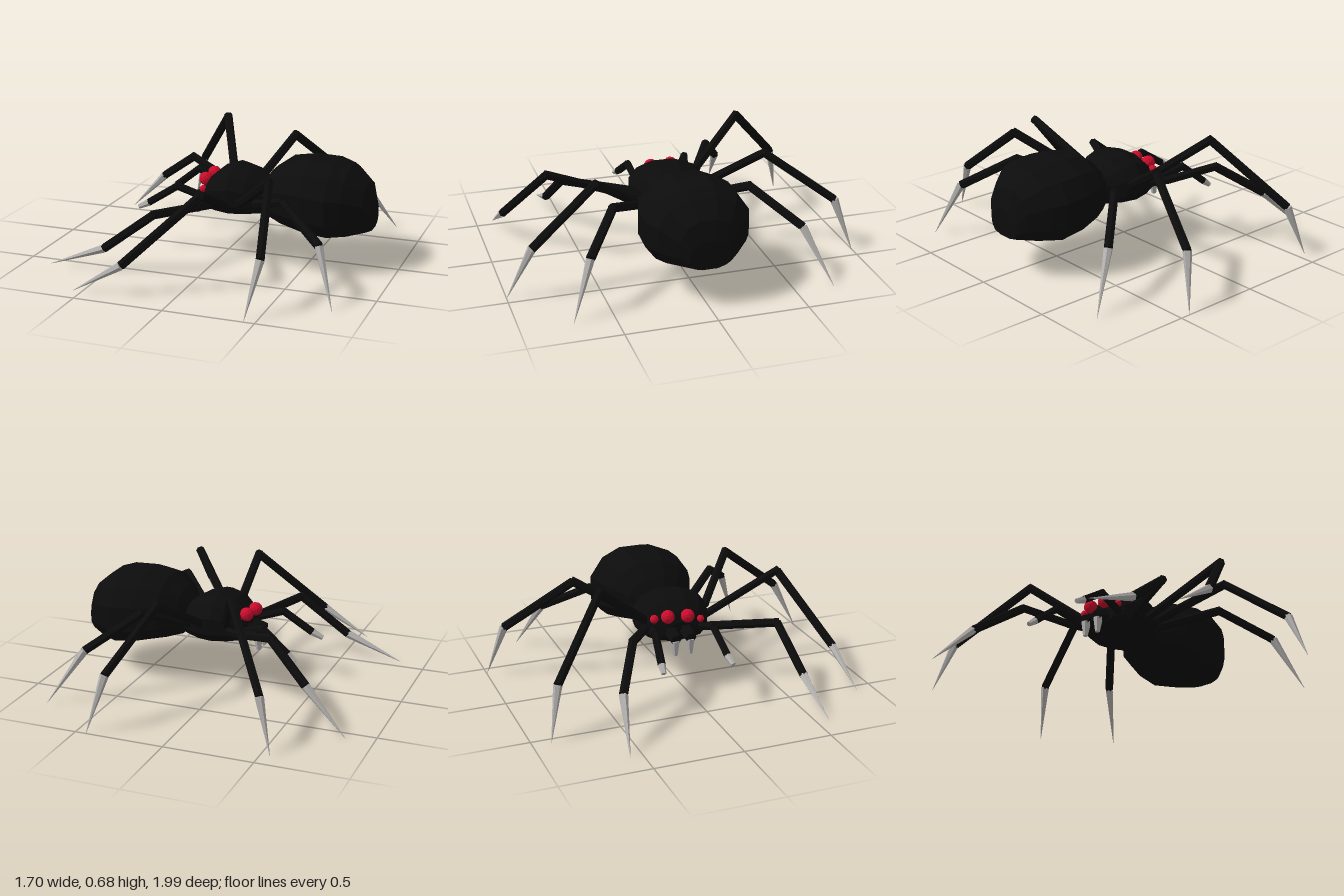
import * as THREE from 'three';

const mat = (name, color, flat = true) => {
  const m = new THREE.MeshStandardMaterial({ color, flatShading: flat });
  m.name = name;
  return m;
};

// Faceted solid running along x; each ring is [x, bottom, top, halfWidth]
function loft(rings, sides) {
  const pos = [], idx = [];
  for (const [x, yb, yt, hw] of rings) {
    for (let j = 0; j < sides; j++) {
      const a = ((j + 0.5) / sides) * Math.PI * 2;
      const c = Math.cos(a), s = Math.sin(a);
      // lower half is squarer than the upper half
      const p = s < 0 ? 0.7 : 0.9;
      const mid = yb + (yt - yb) * 0.45;
      const r = (v) => Math.sign(v) * Math.pow(Math.abs(v), p);
      pos.push(x, mid + r(s) * (s < 0 ? mid - yb : yt - mid), r(c) * hw);
    }
  }
  const n = rings.length;
  for (let i = 0; i < n - 1; i++) {
    for (let j = 0; j < sides; j++) {
      const k = (j + 1) % sides;
      const a = i * sides + j, b = a + sides, c = i * sides + k, d = c + sides;
      idx.push(a, b, c, b, d, c);
    }
  }
  [0, n - 1].forEach((i) => {
    const [x, yb, yt] = rings[i], centre = pos.length / 3;
    pos.push(x, (yb + yt) / 2, 0);
    for (let j = 0; j < sides; j++) {
      const a = i * sides + j, b = i * sides + ((j + 1) % sides);
      if (i === 0) idx.push(centre, a, b);
      else idx.push(centre, b, a);
    }
  });
  const g = new THREE.BufferGeometry();
  g.setAttribute('position', new THREE.Float32BufferAttribute(pos, 3));
  g.setIndex(idx);
  g.computeVertexNormals();
  return g;
}

// Tapered rod from a to b, extended a little past b to close the joint
function rod(name, a, b, r0, r1, material, extend = 0) {
  const p = new THREE.Vector3(...a), q = new THREE.Vector3(...b);
  const dir = q.clone().sub(p).normalize();
  q.addScaledVector(dir, extend);
  const mesh = new THREE.Mesh(new THREE.CylinderGeometry(r1, r0, p.distanceTo(q), 6), material);
  mesh.name = name;
  mesh.position.copy(p).add(q).multiplyScalar(0.5);
  mesh.quaternion.setFromUnitVectors(new THREE.Vector3(0, 1, 0), dir);
  return mesh;
}

// Jointed limb whose last segment is a claw
function limb(name, pts, r, clawEnd, black, claw) {
  const g = new THREE.Group();
  g.name = name;
  const last = pts.length - 2;
  for (let i = 0; i < last; i++) {
    g.add(rod('segment' + (i + 1), pts[i], pts[i + 1], r, r, black, i < last - 1 ? r * 0.5 : 0));
  }
  g.add(rod('claw', pts[last], pts[last + 1], r, clawEnd, claw));
  return g;
}

export function createModel() {
  const model = new THREE.Group();
  model.name = 'spider';
  const black = mat('black', 0x0c0c0c);
  const red = mat('red', 0xcc0c2c);
  const grey = mat('clawGrey', 0xb4b2b0);
  const add = (name, geo, material) => {
    const m = new THREE.Mesh(geo, material);
    m.name = name;
    model.add(m);
    return m;
  };

  // Body
  add('abdomen', loft([
    [0.23, 0.29, 0.45, 0.11], [0.28, 0.25, 0.52, 0.18], [0.37, 0.225, 0.585, 0.255],
    [0.5, 0.195, 0.605, 0.295], [0.64, 0.175, 0.6, 0.295], [0.72, 0.185, 0.575, 0.25],
    [0.82, 0.21, 0.49, 0.16], [0.85, 0.22, 0.38, 0.11],
  ], 12), black);
  add('head', loft([
    [-0.12, 0.29, 0.38, 0.1], [-0.09, 0.265, 0.44, 0.16], [-0.03, 0.255, 0.495, 0.2],
    [0.06, 0.245, 0.525, 0.22], [0.15, 0.25, 0.5, 0.2], [0.22, 0.255, 0.46, 0.15],
    [0.3, 0.27, 0.42, 0.1],
  ], 12), black);

  // Eyes
  [[-0.115, 0.425, -0.08, 0.04], [-0.125, 0.42, 0.035, 0.04],
    [-0.085, 0.41, -0.15, 0.025], [-0.11, 0.385, 0.12, 0.021]].forEach(([x, y, z, r]) => {
    add('eye', new THREE.IcosahedronGeometry(r, 1), red).position.set(x, y, z);
  });

  // Jaws with fangs
  [-0.06, 0.03].forEach((z) => {
    const jaw = new THREE.Group();
    jaw.name = 'jaw';
    jaw.add(rod('jawBase', [-0.07, 0.34, z], [-0.19, 0.31, z], 0.042, 0.033, black));
    jaw.add(rod('fang', [-0.175, 0.3, z], [-0.18, 0.215, z], 0.028, 0.014, grey));
    model.add(jaw);
  });

  // Feelers
  model.add(limb('feelerBack', [[-0.08, 0.34, -0.16], [-0.26, 0.4, -0.21], [-0.41, 0.28, -0.23],
    [-0.455, 0.245, -0.235]], 0.022, 0.014, black, grey));
  model.add(limb('feelerFront', [[-0.08, 0.33, 0.12], [-0.26, 0.39, 0.135], [-0.43, 0.28, 0.15],
    [-0.49, 0.25, 0.158]], 0.022, 0.014, black, grey));

  // Legs: hip, knee(s), ankle, tip
  const legs = {
    backLeg1: [[0, 0.34, -0.15], [-0.12, 0.36, -0.235], [-0.36, 0.42, -0.375], [-0.61, 0.24, -0.52], [-0.85, 0, -0.57]],
    backLeg2: [[-0.01, 0.36, -0.15], [-0.185, 0.655, -0.5], [-0.465, 0.285, -0.83], [-0.55, 0, -0.9]],
    backLeg3: [[0.11, 0.36, -0.16], [0.235, 0.575, -0.52], [0.37, 0.3, -0.9], [0.44, 0, -0.995]],
    backLeg4: [[0.19, 0.34, -0.13], [0.4, 0.46, -0.375], [0.64, 0.29, -0.6], [0.82, 0, -0.72]],
    frontLeg1: [[-0.05, 0.31, 0.16], [-0.235, 0.345, 0.54], [-0.52, 0.13, 0.575], [-0.85, 0, 0.57]],
    frontLeg2: [[0.05, 0.32, 0.18], [0.095, 0.53, 0.69], [-0.28, 0.165, 0.88], [-0.55, 0, 0.9]],
    frontLeg3: [[0.12, 0.33, 0.17], [0.15, 0.36, 0.255], [0.4, 0.575, 0.49], [0.48, 0.285, 0.86], [0.44, 0, 0.995]],
    frontLeg4: [[0.19, 0.33, 0.13], [0.45, 0.45, 0.41], [0.71, 0.3, 0.6], [0.82, 0, 0.72]],
  };
  for (const [name, pts] of Object.entries(legs)) {
    model.add(limb(name, pts, 0.025, 0.001, black, grey));
  }
  return model;
}
